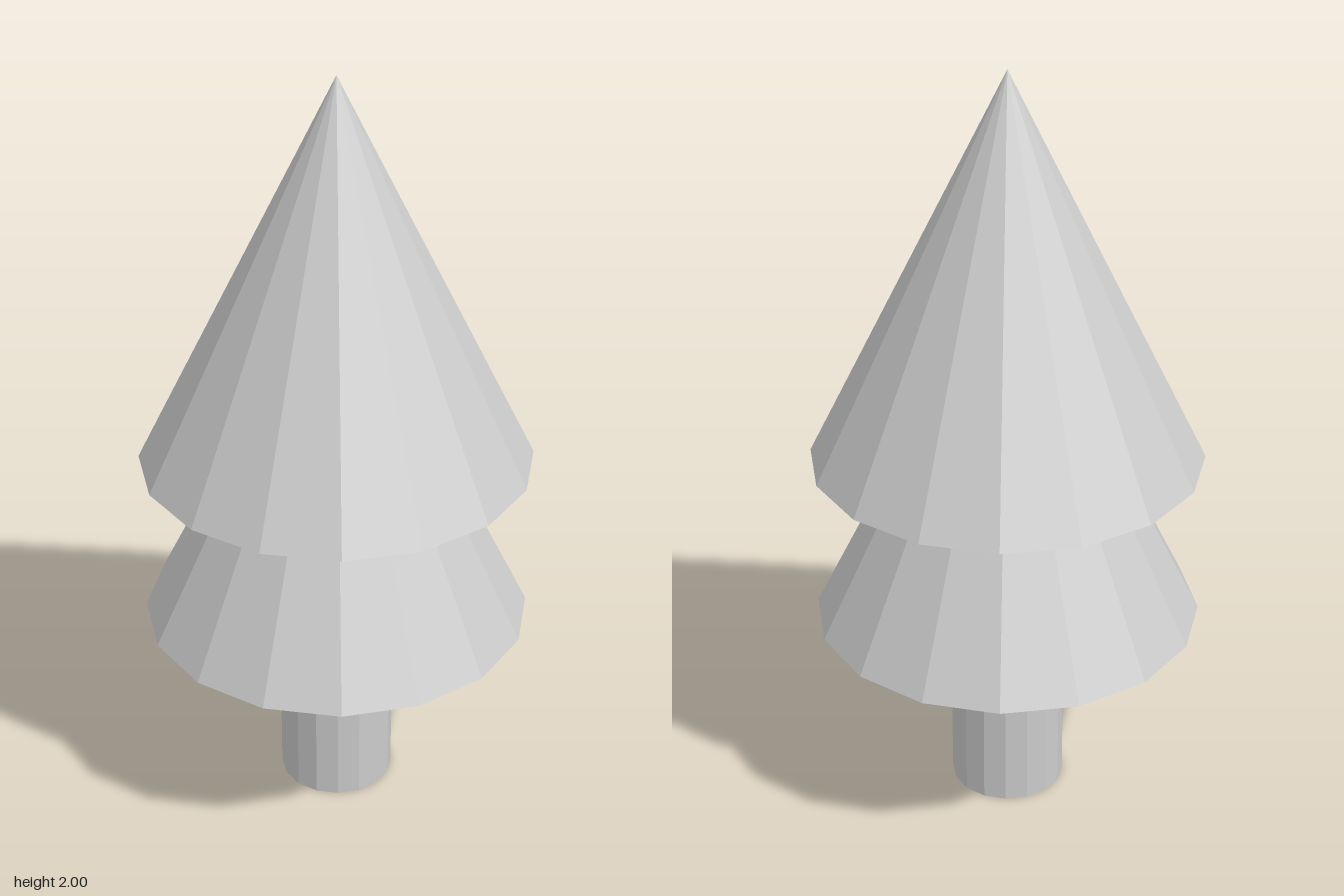
import * as THREE from 'three';

const SIDES = 16;

export function createModel() {
  const group = new THREE.Group();
  const material = new THREE.MeshStandardMaterial({ color: 0xcccccc, flatShading: true });

  const addPart = (name, geometry, bottom, height) => {
    const mesh = new THREE.Mesh(geometry, material);
    mesh.name = name;
    mesh.position.y = bottom + height / 2;
    group.add(mesh);
  };

  // Straight trunk, ending at the underside of the foliage
  const trunkHeight = 0.535;
  addPart('trunk', new THREE.CylinderGeometry(0.152, 0.152, trunkHeight, SIDES), 0, trunkHeight);

  // Two identical overlapping foliage cones
  const coneHeight = 1.01;
  const tiers = { lowerFoliage: trunkHeight, upperFoliage: 2 - coneHeight };
  for (const [name, bottom] of Object.entries(tiers)) {
    addPart(name, new THREE.ConeGeometry(0.507, coneHeight, SIDES), bottom, coneHeight);
  }

  return group;
}
